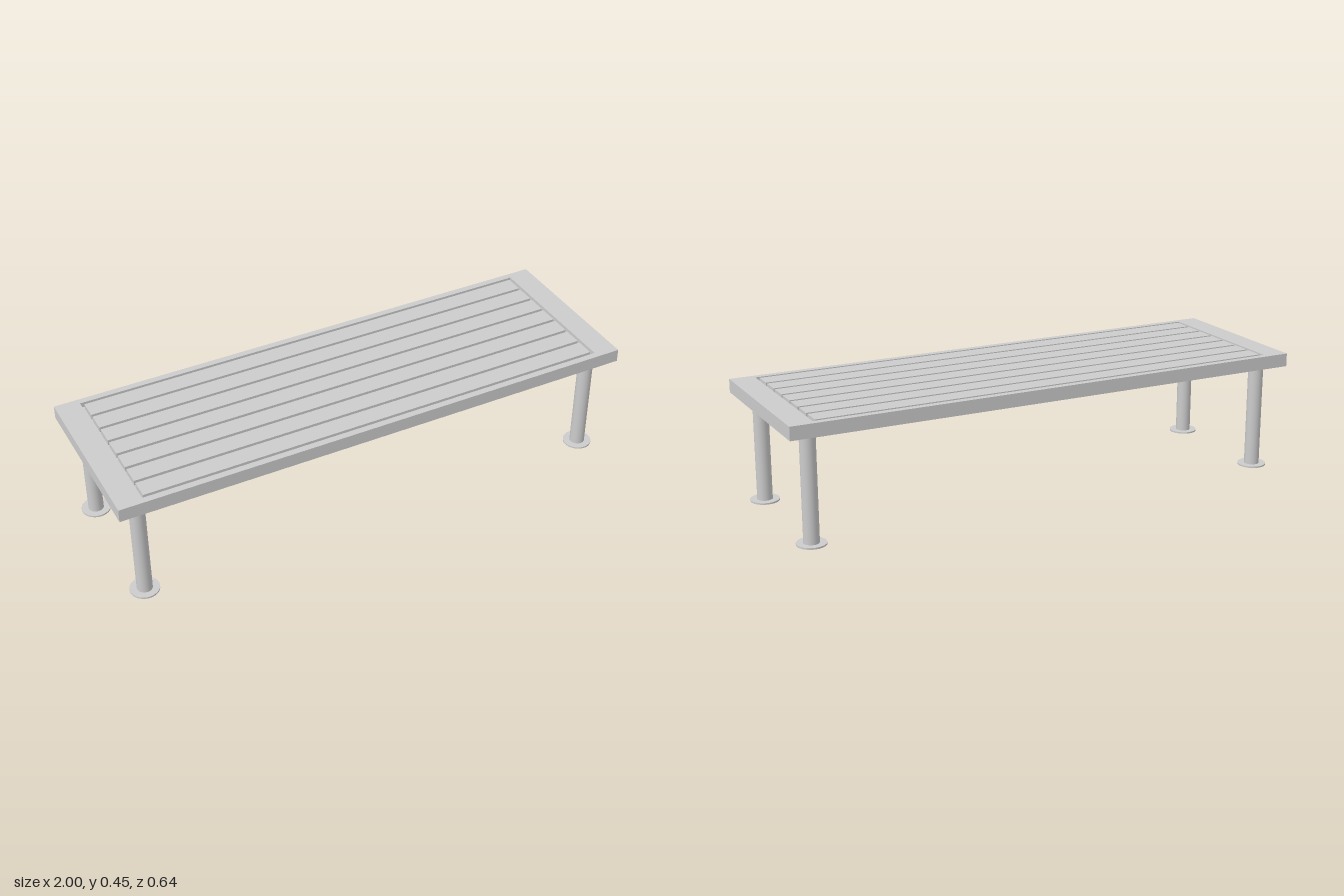
import * as THREE from 'three';

const material = new THREE.MeshStandardMaterial({ color: 0xcccccc });
const tubeMaterial = new THREE.MeshStandardMaterial({ color: 0xcccccc, side: THREE.DoubleSide });

const LENGTH = 2, DEPTH = 0.64;          // bench top
const BOTTOM = 0.404, FLOOR = 0.434, TOP = 0.454;
const INNER_X = 1.82, INNER_Z = 0.59;    // opening of the frame
const SLATS = 7, GAP = 0.012;
const LEG_X = 0.913, LEG_Z = 0.244, LEG_R = 0.0285;
const FOOT_R = 0.054, FOOT_H = 0.006;

function addMesh(parent, name, geometry, x = 0, y = 0, z = 0, mat = material) {
  const mesh = new THREE.Mesh(geometry, mat);
  mesh.name = name;
  mesh.position.set(x, y, z);
  parent.add(mesh);
  return mesh;
}

function rectangle(PathType, w, h) {
  return new PathType([
    new THREE.Vector2(-w / 2, -h / 2), new THREE.Vector2(w / 2, -h / 2),
    new THREE.Vector2(w / 2, h / 2), new THREE.Vector2(-w / 2, h / 2),
  ]);
}

// Extrudes a flat outline with one hole upwards from y = 0
function extrudeUp(shape, hole, height) {
  shape.holes.push(hole);
  const geometry = new THREE.ExtrudeGeometry(shape, { depth: height, bevelEnabled: false, curveSegments: 24 });
  return geometry.rotateX(-Math.PI / 2);
}

function createSeat() {
  const seat = new THREE.Group();
  seat.name = 'seat';

  // Closed underside and raised frame
  addMesh(seat, 'basePanel', new THREE.BoxGeometry(LENGTH, FLOOR - BOTTOM, DEPTH), 0, (BOTTOM + FLOOR) / 2, 0);
  const frame = extrudeUp(rectangle(THREE.Shape, LENGTH, DEPTH), rectangle(THREE.Path, INNER_X, INNER_Z), TOP - FLOOR);
  addMesh(seat, 'frame', frame, 0, FLOOR, 0);

  // Slats with narrow gaps all round
  const pitch = (INNER_Z - GAP) / SLATS;
  const slat = new THREE.BoxGeometry(INNER_X - 2 * GAP, TOP - FLOOR, pitch - GAP);
  for (let i = 0; i < SLATS; i++) {
    addMesh(seat, 'slat', slat, 0, (TOP + FLOOR) / 2, (i - (SLATS - 1) / 2) * pitch);
  }
  return seat;
}

function createLeg(x, z) {
  const leg = new THREE.Group();
  leg.name = 'leg';
  leg.position.set(x, 0, z);

  // Hollow post, open at the bottom
  const post = new THREE.CylinderGeometry(LEG_R, LEG_R, BOTTOM, 32, 1, true);
  addMesh(leg, 'post', post, 0, BOTTOM / 2, 0, tubeMaterial);

  // Flat ring-shaped foot
  const disc = new THREE.Shape().absarc(0, 0, FOOT_R, 0, Math.PI * 2, false);
  const hole = new THREE.Path().absarc(0, 0, LEG_R - 0.001, 0, Math.PI * 2, true);
  addMesh(leg, 'foot', extrudeUp(disc, hole, FOOT_H));
  return leg;
}

export function createModel() {
  const bench = new THREE.Group();
  bench.name = 'bench';
  bench.add(createSeat());
  for (const sx of [-1, 1]) {
    for (const sz of [-1, 1]) bench.add(createLeg(sx * LEG_X, sz * LEG_Z));
  }
  return bench;
}
